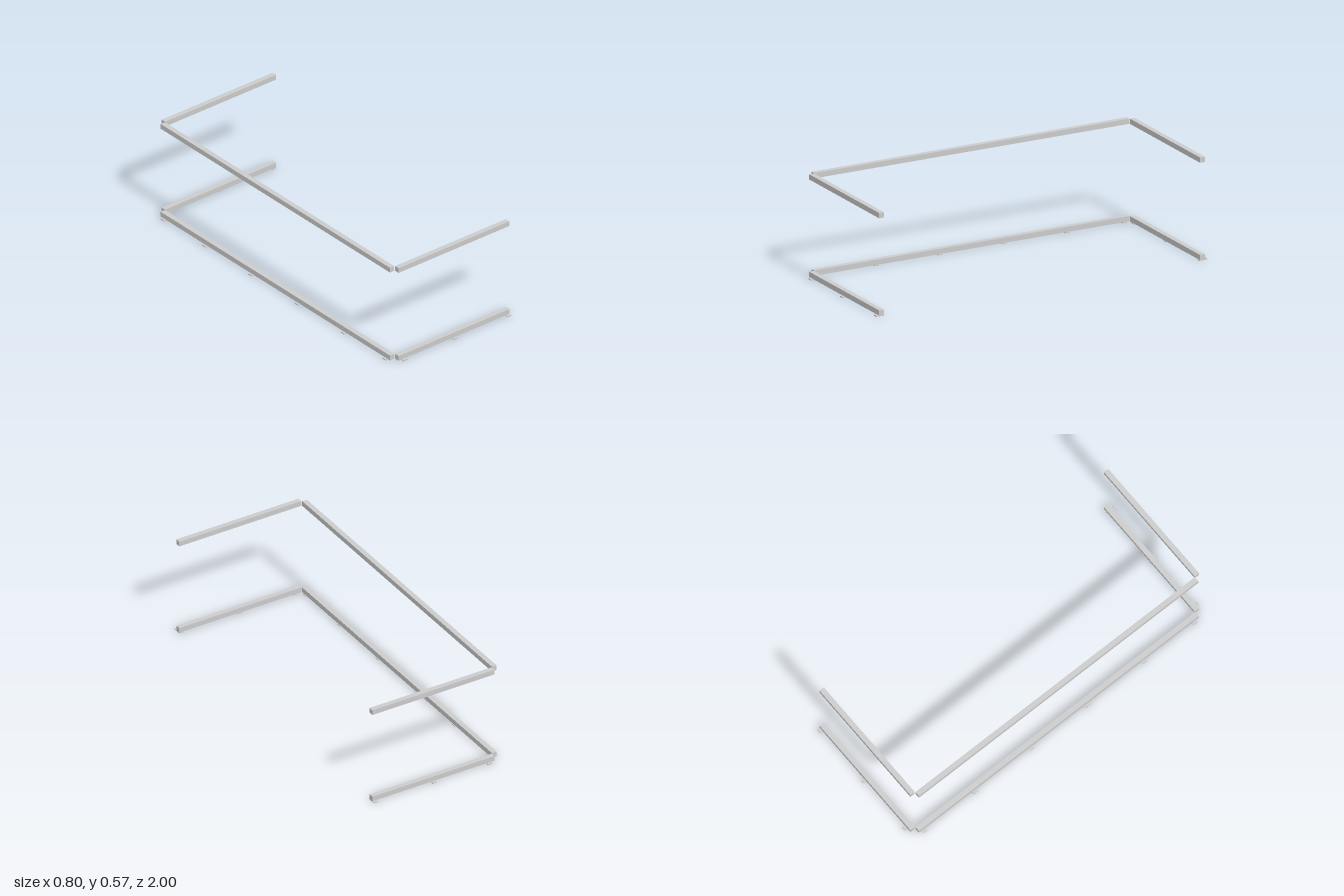
import * as THREE from 'three';

const BAR = 0.029; // square section of every rail
const RAIL_Z = 0.968; // centre line of the end rails
const RAIL_X = -0.372; // centre line of the long rail

export function createModel() {
  const group = new THREE.Group();
  const material = new THREE.MeshStandardMaterial({ color: 0xcccccc, flatShading: true });

  function add(name, geometry, x, y, z, parent = group) {
    const mesh = new THREE.Mesh(geometry, material);
    mesh.name = name;
    mesh.position.set(x, y, z);
    parent.add(mesh);
    return mesh;
  }

  // Two identical U-shaped frames, one above the other
  const endRail = new THREE.BoxGeometry(0.756, BAR, BAR);
  const longRail = new THREE.BoxGeometry(BAR, BAR, 1.902);
  for (const [level, y] of [['lower', 0.018], ['upper', 0.558]]) {
    add(level + 'LongRail', longRail, RAIL_X, y, 0);
    add(level + 'FrontRail', endRail, 0.024, y, RAIL_Z);
    add(level + 'BackRail', endRail, 0.024, y, -RAIL_Z);
  }

  // Foot: thin plate under the rail with a small tapered lip at its outer (+z) end
  const plate = new THREE.BoxGeometry(0.027, 0.004, 0.05);
  const lipShape = new THREE.Shape([
    new THREE.Vector2(-0.0135, 0),
    new THREE.Vector2(0.0135, 0),
    new THREE.Vector2(0.009, 0.006),
    new THREE.Vector2(-0.009, 0.006),
  ]);
  const lip = new THREE.ExtrudeGeometry(lipShape, { depth: 0.003, bevelEnabled: false });

  function addFoot(x, z, turn) {
    const foot = new THREE.Group();
    foot.name = 'foot';
    foot.position.set(x, 0, z);
    foot.rotation.y = turn;
    add('footPlate', plate, 0, 0.002, 0, foot);
    add('footLip', lip, 0, 0, 0.022, foot);
    group.add(foot);
  }

  // Feet under the front and back rails
  for (const x of [-0.319, 0.025, 0.388]) {
    addFoot(x, 0.975, 0);
    addFoot(x, -0.975, Math.PI);
  }

  // Feet under the long rail
  for (const z of [0.193, 0.575, 0.92]) {
    for (const side of [-1, 1]) addFoot(-0.377, side * z, -Math.PI / 2);
  }

  return group;
}
